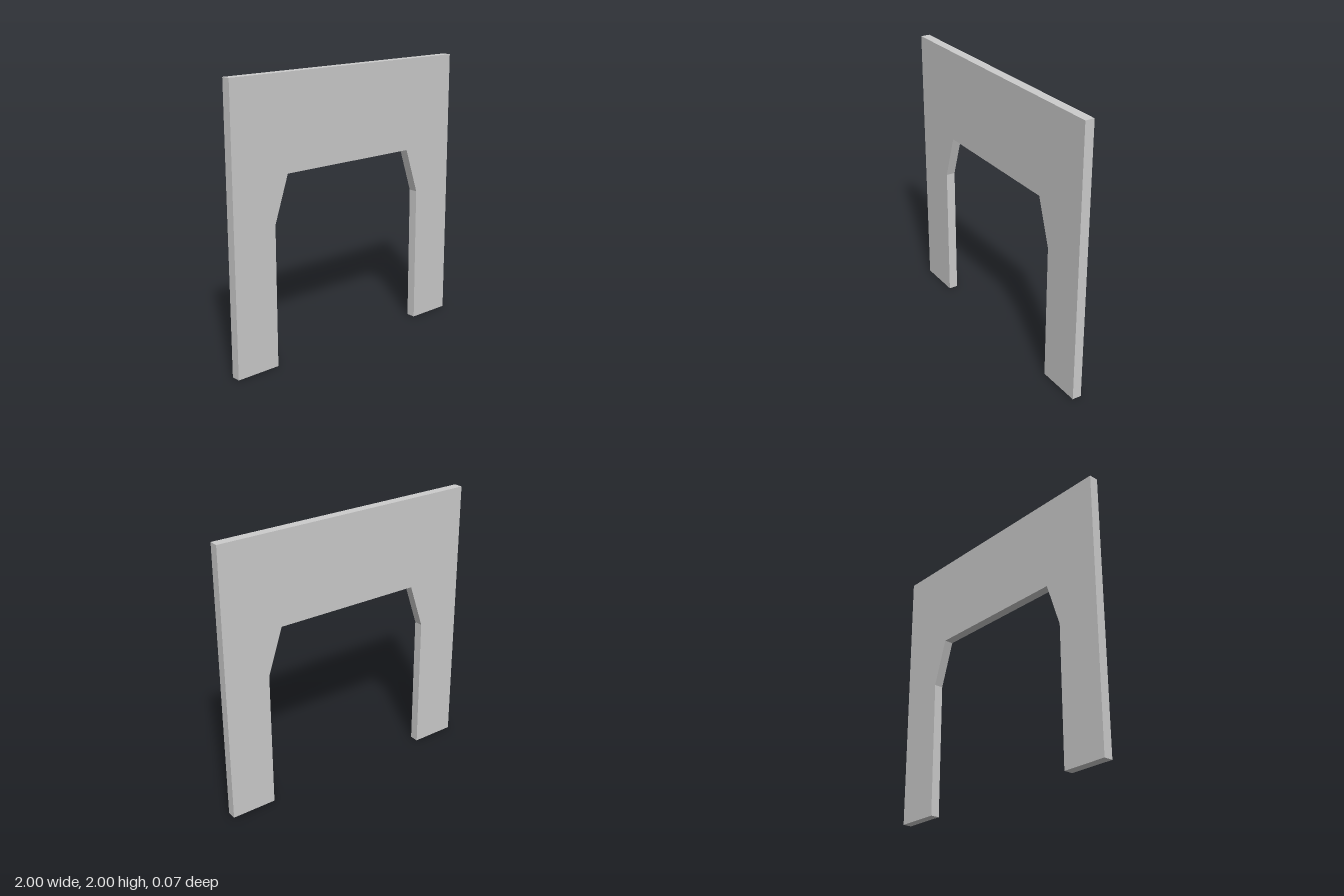
import * as THREE from 'three';

const THICKNESS = 0.067;

export function createModel() {
  const group = new THREE.Group();
  group.name = 'archwayWall';

  // Right half of the outline, from the inner foot up round the opening
  const inner = [[0.667, 0], [0.667, 1.005], [0.556, 1.335]];
  const half = [[1, 2], [1, 0], ...inner];
  const mirrored = half.map(([x, y]) => [-x, y]).reverse();
  const outline = [...half, ...mirrored].map(([x, y]) => new THREE.Vector2(x, y));

  // Flat wall panel with a chamfered doorway
  const geometry = new THREE.ExtrudeGeometry(new THREE.Shape(outline), {
    depth: THICKNESS,
    bevelEnabled: false,
  });
  geometry.translate(0, 0, -THICKNESS / 2);

  const wall = new THREE.Mesh(
    geometry,
    new THREE.MeshStandardMaterial({ color: 0xcccccc, flatShading: true }),
  );
  wall.name = 'doorwayWall';
  group.add(wall);
  return group;
}
